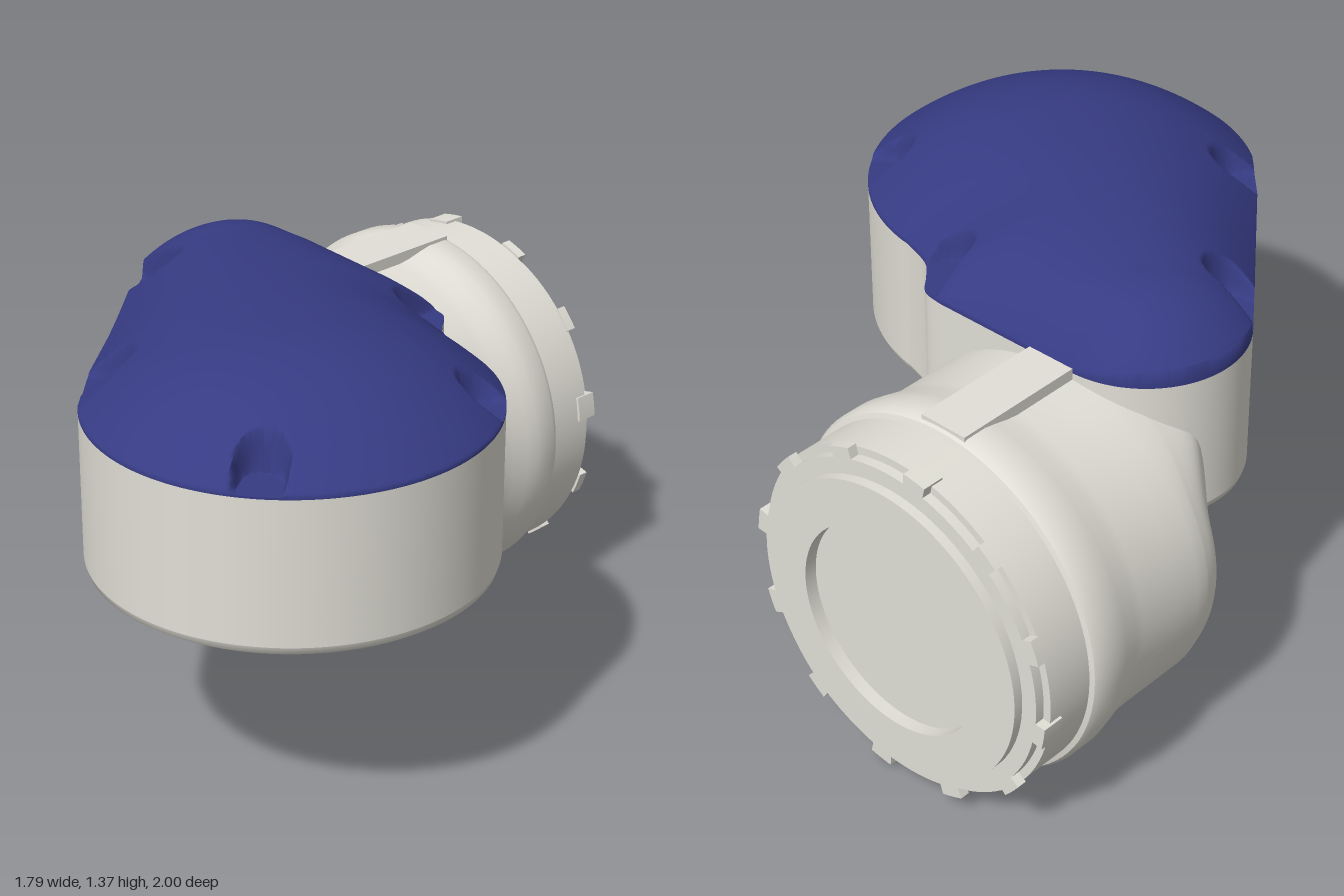
import * as THREE from 'three';
import { toCreasedNormals } from 'three/addons/utils/BufferGeometryUtils.js';

const { Vector2: V2, Vector3: V3, MathUtils: M } = THREE;
const rad = M.degToRad;
const BIG = new V2(0.302, 0.408), BIG_R = 0.592;    // wide end of the housing (x, z)
const SMALL = new V2(-0.4, -0.03), SMALL_R = 0.31;  // narrow end
const PANEL_END = new V2(-0.202, 0.727);            // flat panel that carries the side port
const BASE = 0.66, LIP = 0.69, RIM = 1.13;
const BODY_X = -0.33, BODY_Y = 0.57;                // axis of the rear barrel

// Teardrop outline in x, z; the closing line is the port panel
function outline(closed, count) {
  const p = new THREE.Path();
  p.moveTo(PANEL_END.x, PANEL_END.y);
  p.lineTo(-0.644, 0.161);
  p.absarc(SMALL.x, SMALL.y, SMALL_R, rad(141.95), rad(270), false);
  p.lineTo(0.1, -0.34);
  p.splineThru([[0.17, -0.325], [0.22, -0.27], [0.28, -0.215], [0.4, -0.174]].map(a => new V2(...a)));
  p.absarc(BIG.x, BIG.y, BIG_R, rad(-80), rad(128), false);
  if (closed) p.lineTo(PANEL_END.x, PANEL_END.y);
  return p.getSpacedPoints(count);
}

// Nearest point on the ridge between the two ends, and its share along it
function ridge(p) {
  const axis = SMALL.clone().sub(BIG);
  const s = M.clamp(p.clone().sub(BIG).dot(axis) / axis.lengthSq(), 0, 1);
  return { s, q: BIG.clone().addScaledVector(axis, s) };
}

const inset = (pts, d) => pts.map(p => p.clone().add(ridge(p).q.sub(p).setLength(d)));
const raise = (pts, y) => pts.map(p => new V3(p.x, y, p.y));

// Skin between rings, listed from the bottom up
function loft(rings, crease) {
  const pos = [], idx = [], n = rings[0].length;
  rings.forEach(r => r.forEach(v => pos.push(v.x, v.y, v.z)));
  for (let i = 0; i < rings.length - 1; i++) {
    for (let j = 0; j < n - 1; j++) {
      const a = i * n + j, b = a + n;
      idx.push(a, b, a + 1, b, b + 1, a + 1);
    }
  }
  const g = new THREE.BufferGeometry();
  g.setAttribute('position', new THREE.Float32BufferAttribute(pos, 3));
  g.setIndex(idx);
  return toCreasedNormals(g, crease);
}

// Screw pockets: inner centre and outward direction in x, z
const pockets = [
  [-0.52, 0.2, -1, 0], [-0.12, 0.72, -0.72, 0.69], [0.62, 0.81, 0.6, 0.8],
  [0.71, 0.07, 0.8, -0.6], [0.19, -0.21, 0, -1],
];
function pocketMask(x, z) {
  let m = 0;
  for (const [px, pz, dx, dz] of pockets) {
    const k = M.clamp((x - px) * dx + (z - pz) * dz, 0, 0.25);
    const d = Math.hypot(x - px - k * dx, z - pz - k * dz);
    m = Math.max(m, 1 - M.smoothstep(d, 0.06, 0.08));
  }
  return m;
}

function coverGeometry() {
  const pts = outline(true, 640), rows = 60;
  const rings = [raise(pts, RIM)];
  for (let i = 0; i <= rows; i++) {
    const t = 1 - Math.pow(i / rows, 1.5);
    rings.push(pts.map(p => {
      const { s, q } = ridge(p);
      const edge = 1.145 + 0.045 * M.smoothstep(-p.x, 0.35, 0.7);
      const top = 1.37 - 0.045 * s * s;
      const c = q.clone().lerp(p, t);
      let y = edge + (top - edge) * (1 - Math.pow(t, 2.3));
      y = M.lerp(y, Math.min(y, 1.136), pocketMask(c.x, c.y));
      return new V3(c.x, y, c.y);
    }));
  }
  return loft(rings, 0.9);
}

function barrelGeometry() {
  // Rounded front with a central nose, then the straight barrel, collar and end cap
  const front = new THREE.SplineCurve([
    [0, 0.015], [0.07, 0.02], [0.13, 0.035], [0.175, 0.075], [0.215, 0.13], [0.26, 0.16],
    [0.32, 0.172], [0.39, 0.175], [0.46, 0.185], [0.52, 0.22], [0.545, 0.29],
  ].map(a => new V2(...a))).getPoints(48);
  front[0].x = 0;
  const rest = [
    [0.545, 0.33], [0.545, 0.37], [0.545, 0.42], [0.545, 0.56], [0.55, 0.6], [0.562, 0.65], [0.57, 0.69],
    [0.57, 0.76], [0.56, 0.78], [0.545, 0.785], [0.545, 0.94], [0.52, 0.94], [0.52, 0.97], [0.47, 0.97],
    [0.47, 1], [0.33, 1], [0.33, 0.96], [0, 0.96],
  ].map(a => new V2(...a));
  const g = new THREE.LatheGeometry([...front, ...rest], 96);
  g.rotateX(-Math.PI / 2).translate(BODY_X, BODY_Y, 0);
  // Fillets swelling towards the housing above and beside
  const p = g.attributes.position;
  for (let i = 0; i < p.count; i++) {
    const x = p.getX(i), y = p.getY(i), z = p.getZ(i);
    const shoulder = M.smoothstep(z, -0.33, -0.2) * (1 - M.smoothstep(z, -0.16, -0.05));
    const side = 1 - M.smoothstep(-x, 0.64, 0.82);
    const nose = M.smoothstep(z, -0.1, -0.03) * M.smoothstep(y, 0.56, 0.68);
    p.setZ(i, z + 0.1 * shoulder * side * M.smoothstep(y, 0.54, 0.72) + 0.025 * nose);
    const flank = M.smoothstep(x, 0, 0.17) * M.smoothstep(y, 0.56, 0.74) * (1 - M.smoothstep(y, 0.82, 1));
    p.setX(i, x + 0.09 * flank * M.smoothstep(z, -0.38, -0.22));
  }
  return toCreasedNormals(g, 0.6);
}

// Block following an arc of a ring around z
function arcBlock(r0, r1, mid, span, depth) {
  const s = new THREE.Shape();
  s.absarc(0, 0, r1, mid - span / 2, mid + span / 2, false);
  s.absarc(0, 0, r0, mid + span / 2, mid - span / 2, true);
  return new THREE.ExtrudeGeometry(s, { depth, bevelEnabled: false, curveSegments: 8 });
}

export function createModel() {
  const grey = new THREE.MeshStandardMaterial({ color: 0xe1dfd6 });
  grey.name = 'warm grey';
  const blue = new THREE.MeshStandardMaterial({ color: 0x363b83 });
  blue.name = 'deep blue';
  const model = new THREE.Group();
  const add = (name, geometry, material = grey, parent = model) => {
    const m = new THREE.Mesh(geometry, material);
    m.name = name;
    parent.add(m);
    return m;
  };

  // Housing wall, lower lip and underside
  const wall = outline(false, 200), full = outline(true, 200);
  add('housingWall', loft([raise(wall, LIP), raise(wall, RIM)], 0.6));
  add('housingLip', loft([
    raise(inset(full, 0.02), BASE), raise(inset(full, 0.006), BASE + 0.01), raise(full, LIP + 0.004)], 0.9));
  const floor = new THREE.Shape(inset(full, 0.02).slice(0, -1));
  floor.holes.push(new THREE.Path().absarc(BIG.x, BIG.y, 0.55, 0, Math.PI * 2, true));
  add('housingUnderside', new THREE.ShapeGeometry(floor, 48).rotateX(Math.PI / 2).translate(0, BASE, 0));
  const recess = [[0, 0.82], [0.33, 0.82], [0.33, 0.765], [0.55, 0.765], [0.55, BASE]];
  add('undersideRecess', toCreasedNormals(
    new THREE.LatheGeometry(recess.map(a => new V2(...a)), 72), 0.6)).position.set(BIG.x, 0, BIG.y);

  // Side panel with a round port
  const a = wall[wall.length - 1], along = a.clone().sub(PANEL_END), len = along.length();
  const port = new THREE.Group();
  port.name = 'sidePort';
  port.position.set(PANEL_END.x, 0, PANEL_END.y);
  port.rotation.y = Math.atan2(-along.y, along.x);
  const panel = new THREE.Shape([[0, LIP], [len, LIP], [len, RIM], [0, RIM]].map(v => new V2(...v)));
  panel.holes.push(new THREE.Path().absarc(len / 2, 0.96, 0.085, 0, Math.PI * 2, true));
  add('portPanel', new THREE.ShapeGeometry(panel, 32), grey, port);
  // Listed from the mouth inwards so that the inside shows
  const bore = [[0, 0], [0.085, 0], [0.085, 0.1]].map(v => new V2(...v));
  const boreGeo = new THREE.LatheGeometry(bore.reverse(), 40).rotateX(Math.PI / 2);
  add('portBore', toCreasedNormals(boreGeo, 0.6), grey, port).position.set(len / 2, 0.96, -0.1);
  model.add(port);

  // Domed cover with screw pockets
  add('domedCover', coverGeometry(), blue);

  // Rear barrel with a flat rib on top
  add('rearBarrel', barrelGeometry());
  add('topRib', new THREE.BoxGeometry(0.16, 0.12, 0.44)).position.set(BODY_X, 1.085, -0.55);

  // Castellated locking ring; every third tooth is a longer tab
  const ring = new THREE.Group();
  ring.name = 'lockingRing';
  ring.position.set(BODY_X, BODY_Y, -0.97);
  for (let i = 0; i < 12; i++) {
    const depth = i % 3 === 0 ? 0.07 : 0.031;
    add('ringTooth', arcBlock(0.5, 0.553, rad(i * 30 + 9), rad(8), depth), grey, ring);
  }
  model.add(ring);
  return model;
}
